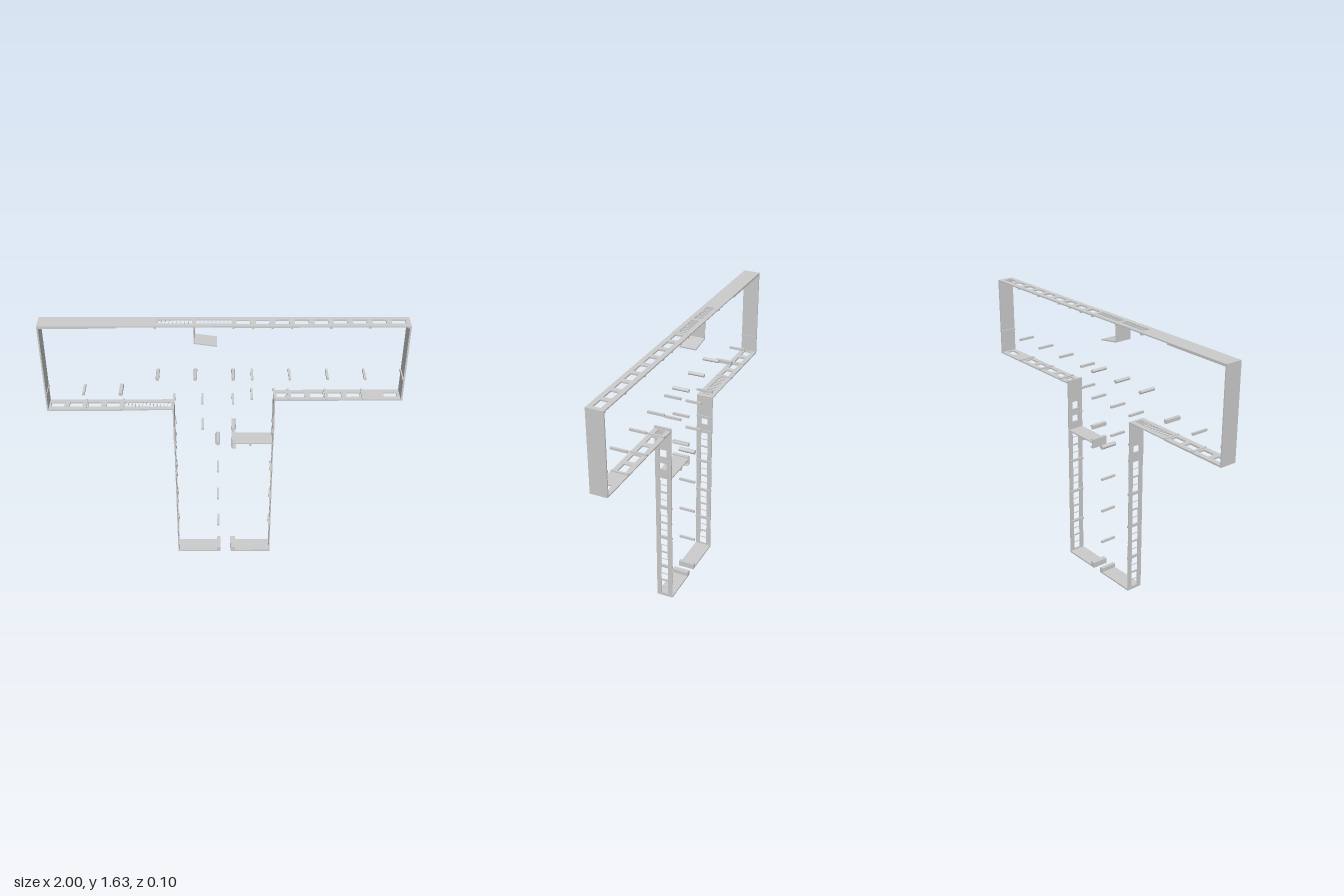
import * as THREE from 'three';

const DEPTH = 0.1;   // wall extent along z
const HOLE = 0.022;  // half extent of a window along z

export function createModel() {
  const model = new THREE.Group();
  const mat = new THREE.MeshStandardMaterial({ color: 0xcccccc });

  const add = (name, geo, x, y, z = 0) => {
    const mesh = new THREE.Mesh(geo, mat);
    mesh.name = name;
    mesh.position.set(x, y, z);
    model.add(mesh);
    return mesh;
  };
  const block = (name, x, y, w, h, d = DEPTH) => add(name, new THREE.BoxGeometry(w, h, d), x, y);

  // Strip of wall from a to b with window openings, extruded by its thickness
  const strip = (a, b, t, holes) => {
    const h = DEPTH / 2;
    const s = new THREE.Shape([[a, -h], [b, -h], [b, h], [a, h]].map(p => new THREE.Vector2(...p)));
    for (const [p, q] of holes) {
      s.holes.push(new THREE.Path([[p, -HOLE], [p, HOLE], [q, HOLE], [q, -HOLE]].map(c => new THREE.Vector2(...c))));
    }
    const g = new THREE.ExtrudeGeometry(s, { depth: t, bevelEnabled: false });
    g.translate(0, 0, -t / 2);
    g.rotateX(-Math.PI / 2);
    return g;
  };
  const wallX = (name, a, b, y, t = 0.008, holes = []) => add(name, strip(a, b, t, holes), 0, y);
  const wallY = (name, a, b, x, t = 0.008, holes = []) =>
    add(name, strip(a, b, t, holes).rotateZ(Math.PI / 2), x, 0);

  // Evenly spaced panes divided by thin bars
  const panes = (a, b, n, bar = 0.004) => {
    const step = (b - a) / n;
    return Array.from({ length: n }, (_, i) => [a + i * step + bar / 2, a + (i + 1) * step - bar / 2]);
  };
  const around = (centres, w = 0.074) => centres.map(c => [c - w / 2, c + w / 2]);

  // Upper long wall: solid end, barred bays, then paired windows
  wallX('upperWallSolid', -1, -0.575, 1.619, 0.014);
  wallX('upperWallBarred', -0.575, 0.05, 1.6225, 0.007, [...panes(-0.36, -0.17, 9), ...panes(-0.15, 0.042, 9)]);
  wallX('upperWallWindows', 0.05, 1, 1.62, 0.008,
    around([0.103, 0.207, 0.312, 0.415, 0.522, 0.624, 0.728, 0.833, 0.937]));

  // Short end walls
  wallY('leftEndWall', 1.147, 1.624, 0.995, 0.009);
  wallY('rightEndWall', 1.08, 1.626, -0.996, 0.008);

  // Lower walls of the two wings
  wallX('rightWingLowerWall', -1, -0.575, 1.085, 0.01, around([-0.945, -0.84, -0.735, -0.63]));
  wallX('rightWingBarredWall', -0.575, -0.284, 1.087, 0.007, panes(-0.565, -0.3, 13));
  wallX('leftWingLowerWall', 0.28, 1, 1.15, 0.008,
    [[0.295, 0.348], ...around([0.415, 0.522, 0.624, 0.728, 0.937])]);

  // Stem walls with a ladder of panes in every bay
  const ladder = [];
  for (let i = 0; i < 4; i++) {
    const y = 0.018 + i * 0.209;
    ladder.push(...panes(y, y + 0.095, 2, 0.003), ...panes(y + 0.102, y + 0.195, 2, 0.003));
  }
  wallY('stemRightWall', 0, 0.84, -0.286, 0.005, ladder);
  wallY('stemRightUpperWall', 0.84, 1.09, -0.287, 0.008, [[0.898, 0.938]]);
  wallY('stemLeftWall', 0, 0.84, 0.283, 0.005, ladder);
  wallY('stemLeftUpperWall', 0.84, 1.154, 0.283, 0.008, [[0.898, 0.938], [0.978, 1.025]]);

  // Stem end, open at the doorway, with a post on each side
  wallX('stemEndWall', -0.288, -0.022, 0.005, 0.01);
  wallX('stemEndWall', 0.04, 0.285, 0.005, 0.01);
  block('doorPost', -0.033, 0.021, 0.022, 0.028);
  block('doorPost', 0.054, 0.021, 0.03, 0.028);

  // Partition with a bracket-shaped end
  wallX('partition', 0.05, 0.283, 0.848, 0.008);
  wallY('partitionEnd', 0.813, 0.868, 0.048, 0.007);
  block('partitionFoot', 0.058, 0.816, 0.024, 0.006);
  block('partitionFoot', 0.058, 0.865, 0.016, 0.006);

  // Hanging partition with a slanted leaf
  wallY('hangingPartition', 1.518, 1.62, -0.162, 0.006);
  const leaf = block('slantedLeaf', -0.101, 1.511, 0.126, 0.007);
  leaf.rotation.z = Math.atan2(-0.018, 0.122);

  // Free-standing square columns and wall pilasters
  const columns = [
    [1.29, [0.155, 0.363, 0.572, 0.78, 0.99]],
    [1.19, [-0.994, -0.786]],
    [1.127, [-0.283, -0.123, 0.05]],
    [1.16, [0.155, 0.283]],
    [0.952, [-0.283, -0.123, 0.283]],
    [0.852, [-0.284]],
    [0.835, [0.152]],
    [0.64, [-0.283, -0.036, 0.278]],
    [0.43, [-0.283, -0.036, 0.278]],
    [0.22, [-0.283, -0.036, 0.278]],
    [1.616, [-0.369, -0.16, 0.05, 0.155, 0.26, 0.363, 0.572, 0.78, 0.988]],
    [1.155, [0.363, 0.572, 0.78]],
    [1.088, [-0.786, -0.575]],
  ];
  for (const [y, xs] of columns) for (const x of xs) block('column', x, y, 0.013, 0.013);
  block('largeColumn', -0.578, 1.19, 0.02, 0.02);

  // Slim mullions halfway between the stem columns
  for (const x of [-0.285, 0.282]) {
    for (const y of [0.117, 0.325, 0.535, 0.744]) block('mullion', x, y, 0.008, 0.007);
  }

  // Small angled column
  block('angledColumnStem', 0.05, 0.945, 0.012, 0.022);
  block('angledColumnArm', 0.058, 0.951, 0.016, 0.01).rotation.z = 0.4;

  // Round columns
  for (const [x, y, r] of [[-0.369, 1.29, 0.01], [-0.16, 1.29, 0.01], [0.05, 1.29, 0.01], [-0.036, 0.848, 0.013]]) {
    add('roundColumn', new THREE.CylinderGeometry(r, r, DEPTH, 16).rotateX(Math.PI / 2), x, y);
  }
  return model;
}
